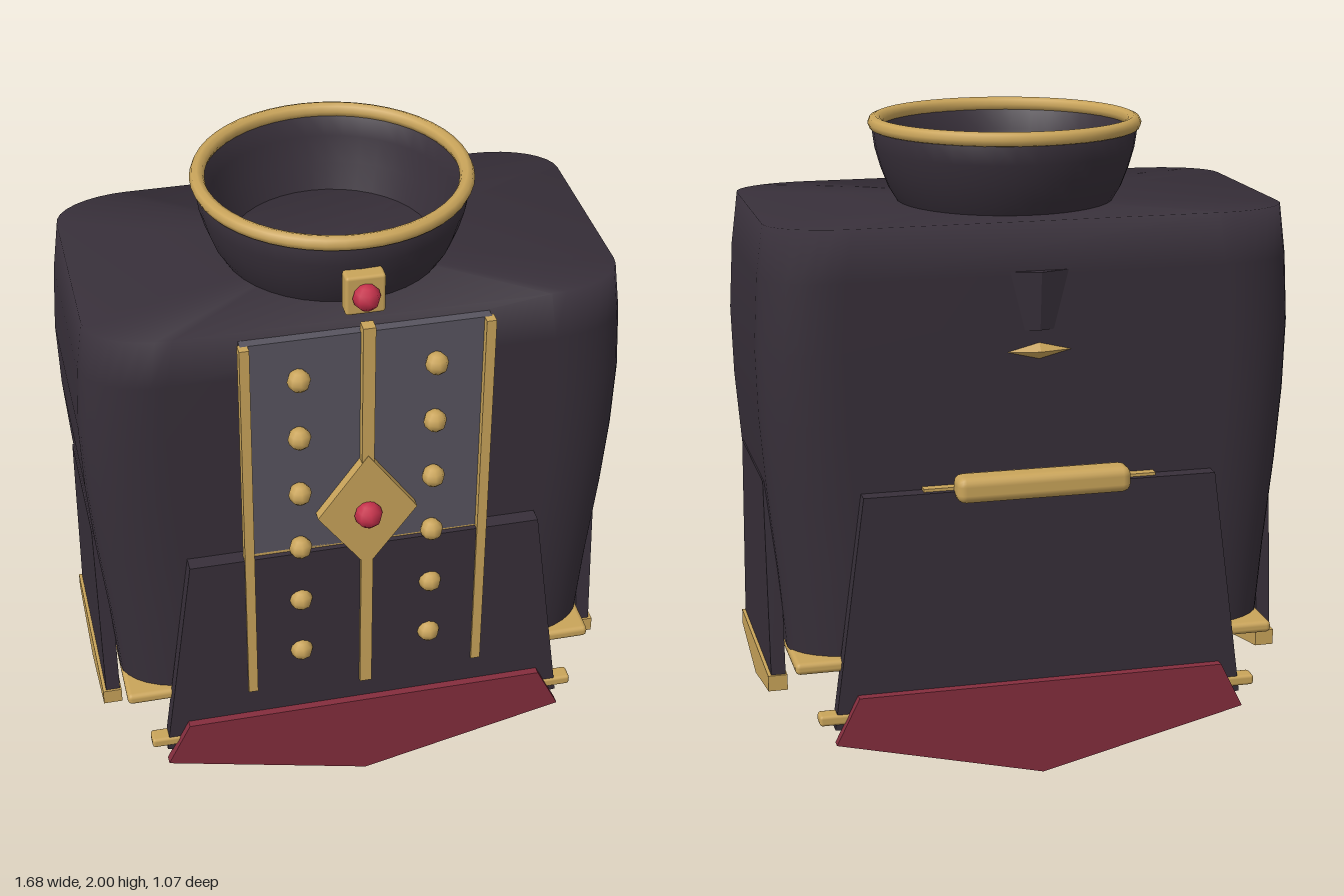
import * as THREE from 'three';
import { RoundedBoxGeometry } from 'three/addons/geometries/RoundedBoxGeometry.js';

const mat = (name, color, side = THREE.FrontSide) => {
  const m = new THREE.MeshStandardMaterial({ color, side });
  m.name = name;
  return m;
};

export function createModel() {
  const group = new THREE.Group();
  const cloth = mat('dark cloth', 0x372f39, THREE.DoubleSide);
  const grey = mat('grey panel', 0x57545f);
  const gold = mat('gold trim', 0xc9a45a);
  const red = mat('red hem', 0x842d3d);
  const ruby = mat('ruby', 0xc4304a);
  const CZ = -0.012; // middle of the body in depth

  const add = (name, geo, material, x = 0, y = 0, z = 0) => {
    const m = new THREE.Mesh(geo, material);
    m.name = name;
    m.position.set(x, y, z);
    group.add(m);
    return m;
  };
  const box = (name, w, h, d, material, x, y, z, r = 0) =>
    add(name, r ? new RoundedBoxGeometry(w, h, d, 2, r) : new THREE.BoxGeometry(w, h, d), material, x, y, z);
  // Flat plate from an outline, back face at z
  const plate = (name, pts, depth, material, z) => {
    const shape = new THREE.Shape(pts.map(p => new THREE.Vector2(p[0], p[1])));
    return add(name, new THREE.ExtrudeGeometry(shape, { depth, bevelEnabled: false }), material, 0, 0, z);
  };

  // Torso: rounded-rectangle sections, widest at the chest, closed on top
  const levels = [[0.41, 0.765], [0.65, 0.785], [0.92, 0.814], [1.15, 0.832], [1.37, 0.838], [1.58, 0.826], [1.74, 0.805]];
  const halfDepth = 0.433, rx = 0.24, rz = 0.15, steps = 8, n = 4 * (steps + 1);
  const pos = [], idx = [];
  for (const [y, w] of levels) {
    for (let c = 0; c < 4; c++) {
      const sx = c === 0 || c === 3 ? 1 : -1, sz = c < 2 ? 1 : -1;
      for (let k = 0; k <= steps; k++) {
        const a = (c + k / steps) * Math.PI / 2;
        pos.push(sx * (w - rx) + rx * Math.cos(a), y, CZ + sz * (halfDepth - rz) + rz * Math.sin(a));
      }
    }
  }
  pos.push(0, 1.74, CZ);
  const top = levels.length - 1, centre = levels.length * n;
  for (let i = 0; i < n; i++) {
    const j = (i + 1) % n;
    for (let l = 0; l < top; l++) {
      const a = l * n, b = a + n;
      idx.push(a + i, b + i, a + j, a + j, b + i, b + j);
    }
    idx.push(centre, top * n + j, top * n + i);
  }
  const torso = new THREE.BufferGeometry();
  torso.setAttribute('position', new THREE.Float32BufferAttribute(pos, 3));
  torso.setIndex(idx);
  torso.computeVertexNormals();
  add('torso', torso, cloth);
  box('baseTrim', 1.53, 0.038, 0.9, gold, 0, 0.396, CZ - 0.005, 0.015);

  // Flared collar with gold rim and clasp
  const profile = [[0.335, 1.73], [0.365, 1.78], [0.388, 1.84], [0.405, 1.9], [0.415, 1.97],
    [0.39, 1.97], [0.372, 1.9], [0.345, 1.82], [0.31, 1.73]].map(p => new THREE.Vector2(p[0], p[1]));
  add('collar', new THREE.LatheGeometry(profile, 40), cloth, 0, 0, CZ);
  const rim = add('collarRim', new THREE.TorusGeometry(0.403, 0.023, 8, 48), gold, 0, 1.977, CZ);
  rim.rotation.x = Math.PI / 2;
  box('collarClasp', 0.12, 0.128, 0.055, gold, 0, 1.82, 0.405, 0.01);
  add('collarGem', new THREE.SphereGeometry(0.042, 8, 6), ruby, 0, 1.82, 0.44);

  // Chest panel, braid strips and buttons
  box('chestPanel', 0.75, 0.77, 0.045, grey, 0, 1.325, 0.43);
  for (const s of [-1, 1]) {
    box('sideBraid', 0.03, 1.31, 0.035, gold, s * 0.367, 1.055, 0.46);
    for (let i = 0; i < 6; i++)
      add('button', new THREE.SphereGeometry(0.036, 8, 6), gold, s * 0.207, 1.58 - i * 0.207, 0.47);
  }
  box('centreBraid', 0.038, 1.36, 0.04, gold, 0, 1.06, 0.463);
  plate('chestDiamond', [[0, 0.86], [0.155, 1.07], [0, 1.285], [-0.155, 1.07]], 0.035, gold, 0.45);
  add('chestGem', new THREE.SphereGeometry(0.044, 8, 6), ruby, 0, 1.07, 0.493);

  // Front and back skirt panels with waistband, gold bar and red pointed hem
  const panel = [[-0.552, 0.935], [-0.652, 0.2], [0, 0.08], [0.652, 0.2], [0.552, 0.935]];
  const hem = [[-0.58, 0.307], [-0.653, 0.16], [0, 0.003], [0.653, 0.16], [0.58, 0.307]];
  for (const [side, zPanel, zHem, zBar, zBand] of [
    ['front', 0.42, 0.465, 0.448, 0.435], ['back', -0.492, -0.52, -0.47, -0.457]]) {
    plate(side + 'Skirt', panel, 0.05, cloth, zPanel);
    plate(side + 'Hem', hem, 0.03, red, zHem);
    box(side + 'Bar', 1.4, 0.034, 0.055, gold, 0, 0.233, zBar, 0.01);
    box(side + 'Waistband', 0.73, 0.04, 0.035, gold, 0, 0.924, zBand);
  }
  box('backRoll', 0.545, 0.082, 0.09, gold, 0, 0.944, -0.492, 0.028);

  // Side skirt panels with pointed gold hems
  for (const s of [-1, 1]) {
    const side = plate('sideSkirt', [[-0.235, 0.935], [-0.3, 0.3], [0.3, 0.3], [0.235, 0.935]], 0.045, cloth, CZ);
    const trim = plate('sideHem', [[-0.305, 0.325], [-0.305, 0.275], [0, 0.218], [0.305, 0.275], [0.305, 0.325]], 0.06, gold, CZ);
    for (const m of [side, trim]) m.rotation.y = Math.PI / 2;
    side.position.x = s * 0.797 - 0.0225;
    trim.position.x = s * 0.8 - 0.03;
  }

  // Small ornament on the upper back
  const tab = new THREE.CylinderGeometry(0.09, 0.045, 0.18, 4).toNonIndexed();
  tab.computeVertexNormals();
  add('backTab', tab, cloth, 0, 1.5, -0.445).scale.z = 0.3;
  add('backOrnament', new THREE.OctahedronGeometry(0.1), gold, 0, 1.345, -0.445).scale.set(1, 0.25, 0.22);

  return group;
}
